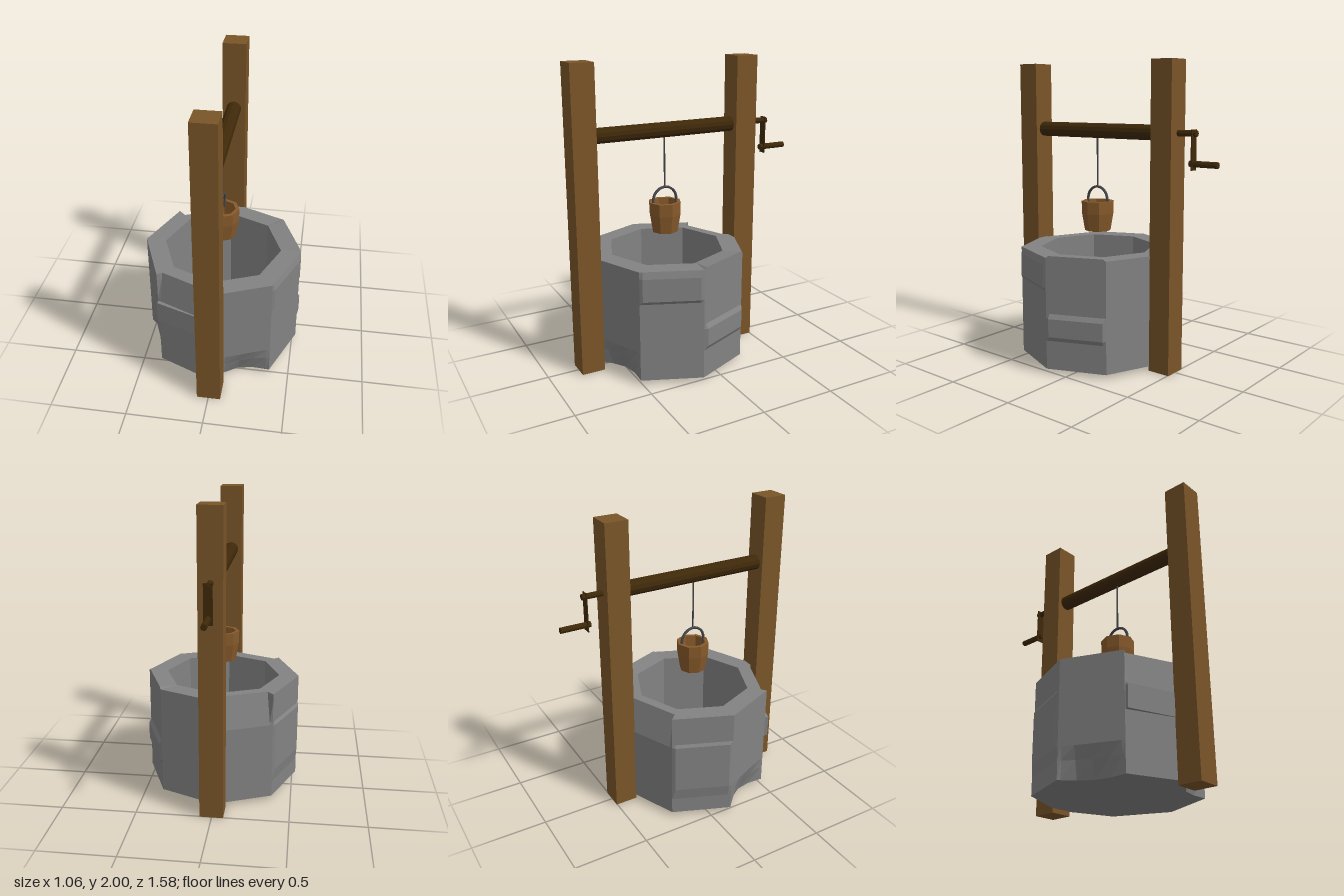
import * as THREE from 'three';

const paint = (color, side = THREE.FrontSide) =>
  new THREE.MeshStandardMaterial({ color, flatShading: true, side });

const CZ = 0.14; // centre of the well along z

// Stone ring: each of its eight sides is a strip running from the underside,
// up the outer wall, over the rim and down the inside to the floor.
function stoneRing() {
  const R = 0.525, RI = 0.392, TOP = 0.765;
  const heights = [0.03, 0.14, 0.22, 0.25, 0.37, 0.40, 0.55, 0.57, 0.72, TOP];
  const cols = [0, 0.05, 0.25, 0.5, 0.75, 0.95, 1];
  const profile = [[0, 0.03], ...heights.map(y => [R, y]), [RI, TOP], [RI, 0.08], [0, 0.08]];
  // bulge (+) or chip (-) of the outer wall on side i at u, y
  const chipLow = (u, y, d) => -d * Math.sin(Math.PI * u) * Math.max(0, 1 - y / 0.22) * 1.15;
  const chipTop = (u, y, d) => -d * Math.max(0, (y - 0.55) / 0.215);
  const relief = [
    (u, y) => chipLow(u, y, 0.07),
    (u, y) => (y > 0.56 && y < 0.74 ? 0.012 : 0),
    (u, y) => (y > 0.24 && y < 0.38 ? 0.018 : 0),
    () => 0,
    (u, y) => chipTop(u, y, 0.06),
    (u, y) => (y > 0.2 && y < 0.56 ? 0.012 : 0),
    (u, y) => chipLow(u, y, 0.07),
    (u, y) => chipTop(u, y, 0.035),
  ];
  const pos = [], index = [];
  for (let i = 0; i < 8; i++) {
    const a = i * Math.PI / 4, b = a + Math.PI / 4, m = (a + b) / 2;
    const base = pos.length / 3;
    profile.forEach(([r, y]) => cols.forEach(u => {
      const inner = u > 0 && u < 1 && r === R;
      const d = inner ? relief[i](u, y) : 0;
      const raise = inner && i === 2 && y === TOP ? 0.013 : 0;
      pos.push(
        r * (Math.sin(a) * (1 - u) + Math.sin(b) * u) + d * Math.sin(m),
        y + raise,
        r * (Math.cos(a) * (1 - u) + Math.cos(b) * u) + d * Math.cos(m));
    }));
    const n = cols.length;
    for (let j = 0; j < profile.length - 1; j++) {
      for (let k = 0; k < n - 1; k++) {
        const p = base + j * n + k;
        index.push(p, p + 1, p + n + 1, p, p + n + 1, p + n);
      }
    }
  }
  const g = new THREE.BufferGeometry();
  g.setAttribute('position', new THREE.Float32BufferAttribute(pos, 3));
  g.setIndex(index);
  g.computeVertexNormals();
  return g;
}

export function createModel() {
  const model = new THREE.Group();
  const stone = paint(0x828282);
  const timber = paint(0x7a5528);
  const darkWood = paint(0x3e2809);
  const bucketWood = paint(0x875a2b, THREE.DoubleSide);
  const iron = paint(0x48484c);

  const add = (name, geometry, material, x = 0, y = 0, z = 0, parent = model) => {
    const mesh = new THREE.Mesh(geometry, material);
    mesh.name = name;
    mesh.position.set(x, y, z);
    parent.add(mesh);
    return mesh;
  };
  // round bar lying along z
  const bar = (name, r, z0, z1, y, sides) =>
    add(name, new THREE.CylinderGeometry(r, r, z1 - z0, sides).rotateX(Math.PI / 2),
      darkWood, 0, y, (z0 + z1) / 2);

  // Well
  add('stoneRing', stoneRing(), stone, 0, 0, CZ);

  // Wedge-shaped stone sticking out of the front wall
  const wedge = new THREE.Shape([[-0.36, -0.49], [0, -0.64], [0, -0.667], [-0.375, -0.537]]
    .map(([x, y]) => new THREE.Vector2(x, y)));
  add('looseStone', new THREE.ExtrudeGeometry(wedge, { depth: 0.15, bevelEnabled: false })
    .rotateX(-Math.PI / 2), stone, 0, 0.4, 0);

  // Posts
  for (const [name, z] of [['frontPost', 0.715], ['backPost', -0.427]]) {
    add(name, new THREE.BoxGeometry(0.154, 2, 0.154), timber, 0.002, 1, z);
  }

  // Axle and crank
  bar('axle', 0.05, -0.36, 0.65, 1.548, 12);
  bar('crankShaft', 0.02, -0.64, -0.49, 1.55, 8);
  bar('crankHandle', 0.02, -0.79, -0.592, 1.365, 8);
  add('crankPlate', new THREE.BoxGeometry(0.056, 0.25, 0.006), darkWood, 0, 1.45, -0.617);

  // Rope and bucket
  add('rope', new THREE.CylinderGeometry(0.006, 0.006, 0.34, 6), iron, 0, 1.34, 0.145);
  const bucket = new THREE.Group();
  bucket.name = 'bucket';
  bucket.position.set(0, 0, 0.145);
  model.add(bucket);
  const staves = [[0, 0.87], [0.088, 0.87], [0.108, 0.99], [0.11, 1.073],
    [0.085, 1.073], [0.083, 0.99], [0.07, 0.89], [0, 0.89]]
    .map(([x, y]) => new THREE.Vector2(x, y));
  add('bucketBody', new THREE.LatheGeometry(staves, 8), bucketWood, 0, 0, 0, bucket);

  // Arched handle with its feet inside the rim
  const arch = [new THREE.Vector3(0, 1.03, -0.085)];
  for (let i = 0; i <= 10; i++) {
    const t = Math.PI * i / 10;
    arch.push(new THREE.Vector3(0, 1.08 + 0.09 * Math.sin(t), -0.085 * Math.cos(t)));
  }
  arch.push(new THREE.Vector3(0, 1.03, 0.085));
  add('bucketHandle', new THREE.TubeGeometry(new THREE.CatmullRomCurve3(arch), 24, 0.009, 6),
    iron, 0, 0, 0, bucket);

  return model;
}
